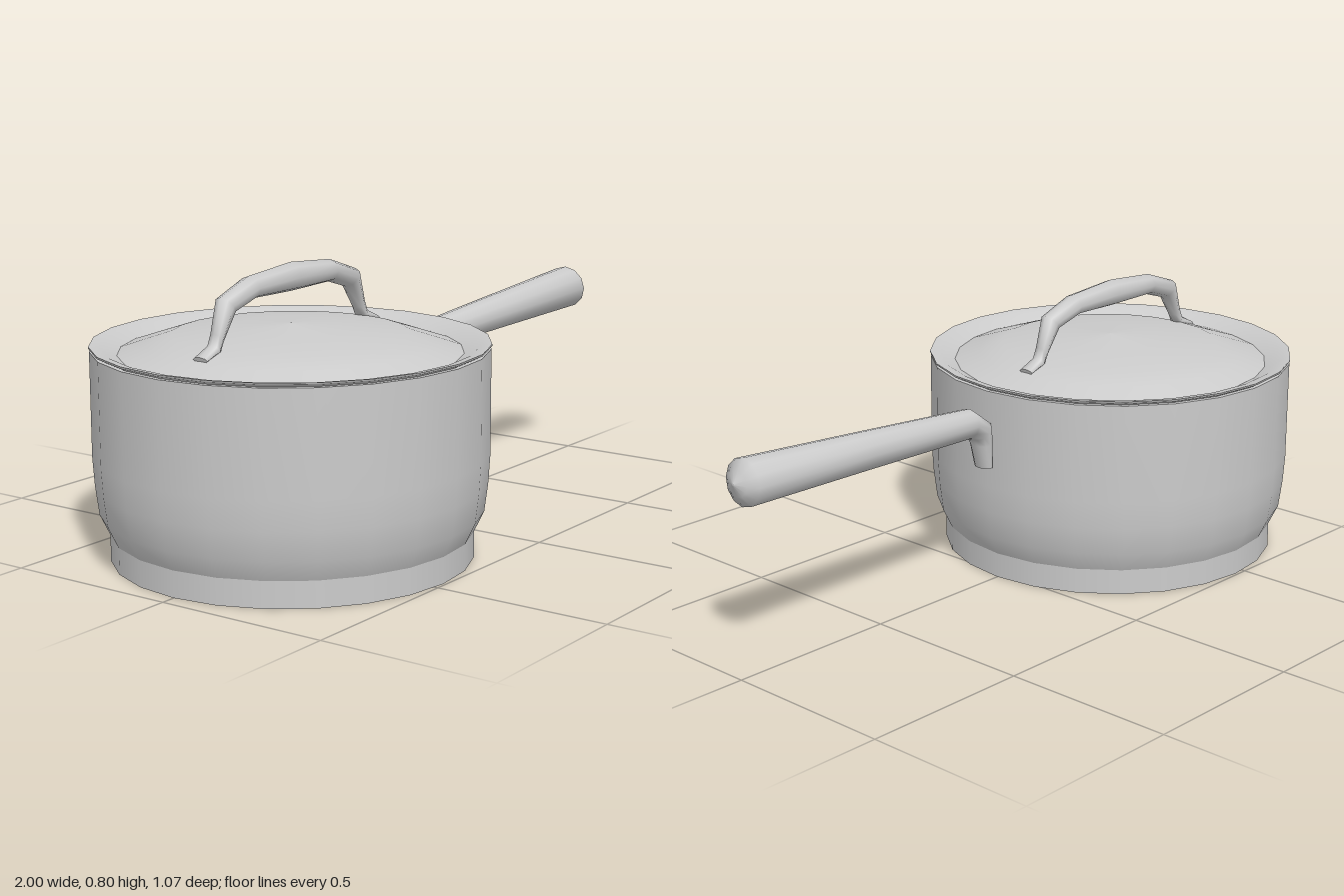
import * as THREE from 'three';

const material = new THREE.MeshStandardMaterial({ color: 0xcccccc, side: THREE.DoubleSide });
const PAN_X = -0.465;

function addMesh(parent, name, geometry) {
  const mesh = new THREE.Mesh(geometry, material);
  mesh.name = name;
  parent.add(mesh);
}

// One lathe per smooth run of the profile, so the edges between runs stay sharp
function addLathes(parent, name, runs) {
  const group = new THREE.Group();
  group.name = name;
  runs.forEach((run, i) => addMesh(group, `${name}Surface${i + 1}`,
    new THREE.LatheGeometry(run.map(([r, y]) => new THREE.Vector2(r, y)), 24)));
  parent.add(group);
}

// Sweeps ellipses through stations [topX, topY, underX, underY, halfDepth], closed with flat caps
function sweep(stations, sides) {
  const positions = [], indices = [];
  const addRing = ([tx, ty, ux, uy, depth]) => {
    const start = positions.length / 3;
    for (let j = 0; j < sides; j++) {
      const a = (j / sides) * Math.PI * 2, c = Math.cos(a) / 2;
      positions.push((tx + ux) / 2 + (tx - ux) * c, (ty + uy) / 2 + (ty - uy) * c, depth * Math.sin(a));
    }
    return start;
  };
  const starts = stations.map(addRing);
  for (let i = 0; i < starts.length - 1; i++) {
    for (let j = 0; j < sides; j++) {
      const k = (j + 1) % sides, p = starts[i], q = starts[i + 1];
      indices.push(p + j, p + k, q + j, p + k, q + k, q + j);
    }
  }
  const first = addRing(stations[0]), last = addRing(stations[stations.length - 1]);
  for (let j = 1; j < sides - 1; j++) {
    indices.push(first, first + j + 1, first + j, last, last + j, last + j + 1);
  }
  const geometry = new THREE.BufferGeometry();
  geometry.setAttribute('position', new THREE.Float32BufferAttribute(positions, 3));
  geometry.setIndex(indices);
  geometry.computeVertexNormals();
  return geometry;
}

export function createModel() {
  const model = new THREE.Group();
  model.name = 'saucepan';

  const pan = new THREE.Group();
  pan.name = 'pan';
  pan.position.x = PAN_X;
  model.add(pan);

  // Pot: base disc, straight foot, rounded wall and rim
  addLathes(pan, 'pot', [
    [[0, 0], [0.493, 0]],
    [[0.493, 0], [0.493, 0.073]],
    [[0.493, 0.073], [0.52, 0.13], [0.53, 0.21], [0.535, 0.29], [0.535, 0.575]],
    [[0.535, 0.575], [0.505, 0.575]],
  ]);

  // Lid: flared rim, sunken groove and shallow dome
  addLathes(pan, 'lid', [
    [[0.522, 0.575], [0.537, 0.583], [0.537, 0.588]],
    [[0.537, 0.588], [0.505, 0.582], [0.463, 0.562]],
    [[0.463, 0.562], [0.39, 0.587], [0.32, 0.61], [0.16, 0.624], [0, 0.636]],
  ]);

  // Lid handle: half of the arch, mirrored about the lid's centre
  const half = [
    [-0.375, 0.604, -0.37, 0.588, 0.024],
    [-0.328, 0.628, -0.31, 0.6, 0.022],
    [-0.318, 0.655, -0.29, 0.635, 0.021],
    [-0.291, 0.745, -0.245, 0.7, 0.028],
    [-0.172, 0.786, -0.165, 0.725, 0.034],
  ];
  const mirrored = half.map(([tx, ty, ux, uy, d]) => [-tx, ty, -ux, uy, d]).reverse();
  addMesh(pan, 'lidHandle', sweep([...half, [0, 0.8, 0, 0.722, 0.038], ...mirrored], 8));

  // Long handle: bracket on the wall, bend, widening grip and blunt tip
  addMesh(model, 'longHandle', sweep([
    [0.066, 0.355, 0.104, 0.355, 0.03],
    [0.066, 0.43, 0.122, 0.425, 0.036],
    [0.072, 0.488, 0.132, 0.443, 0.04],
    [0.14, 0.539, 0.155, 0.455, 0.044],
    [0.55, 0.57, 0.555, 0.463, 0.055],
    [0.962, 0.6, 0.972, 0.47, 0.067],
    [0.982, 0.57, 0.987, 0.501, 0.036],
    [1, 0.541, 1, 0.535, 0.004],
  ], 12));

  return model;
}
